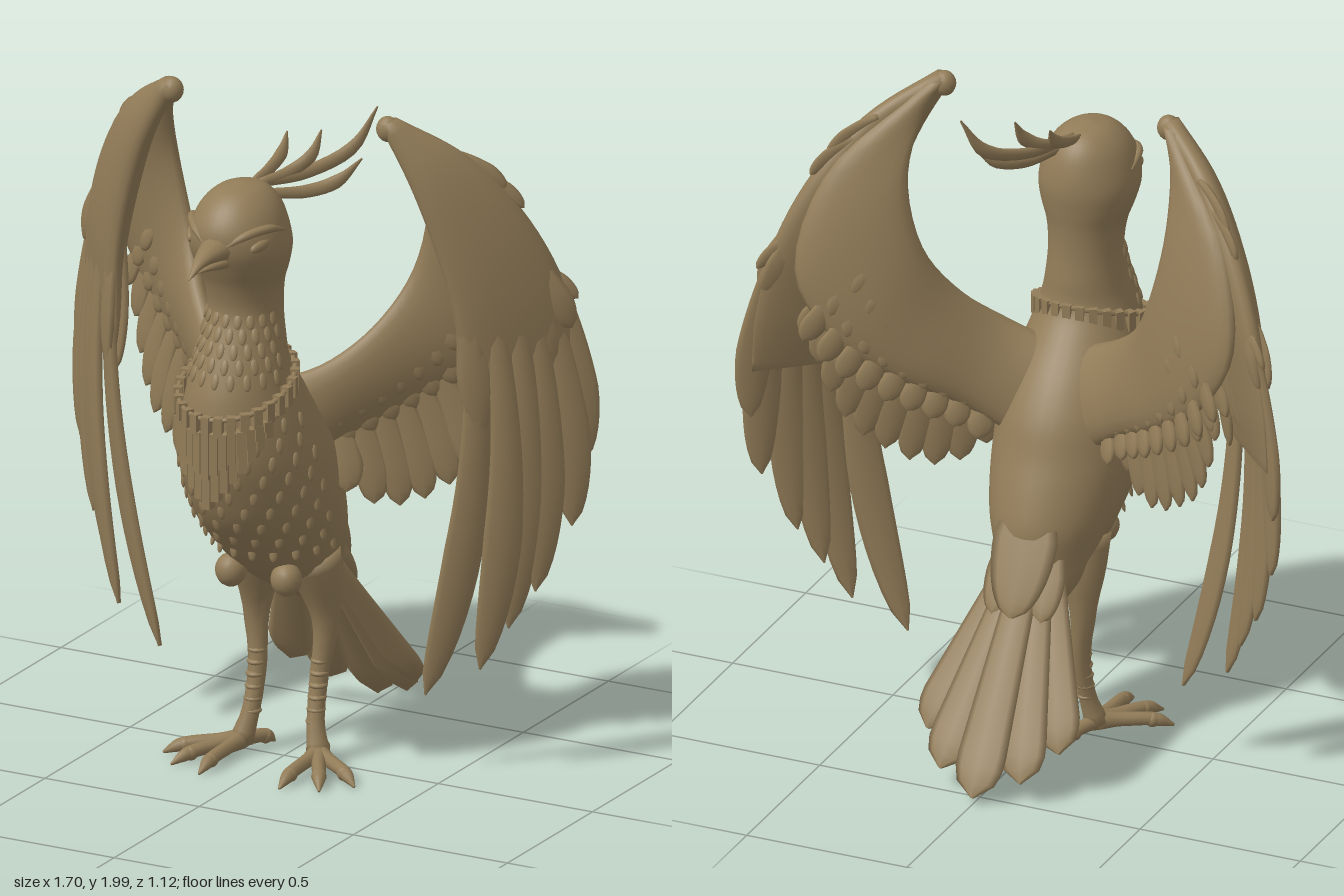
import * as THREE from 'three';

const V = (a) => new THREE.Vector3(...a);
const curveOf = (pts) => new THREE.CatmullRomCurve3(pts.map(V));
const TAU = Math.PI * 2;

// Skin a list of closed rings, cap both ends and make the faces point outward
function loft(rings) {
  const m = rings[0].length, pos = [], idx = [];
  rings.forEach((r) => r.forEach((p) => pos.push(p.x, p.y, p.z)));
  for (let i = 0; i < rings.length - 1; i++) {
    for (let j = 0; j < m; j++) {
      const a = i * m + j, b = i * m + (j + 1) % m;
      idx.push(a, b, a + m, b, b + m, a + m);
    }
  }
  [0, rings.length - 1].forEach((i) => {
    const c = new THREE.Vector3();
    rings[i].forEach((p) => c.addScaledVector(p, 1 / m));
    const k = pos.length / 3;
    pos.push(c.x, c.y, c.z);
    for (let j = 0; j < m; j++) {
      const a = i * m + j, b = i * m + (j + 1) % m;
      if (i) idx.push(a, b, k); else idx.push(b, a, k);
    }
  });
  const at = (i) => new THREE.Vector3().fromArray(pos, i * 3);
  let vol = 0;
  for (let i = 0; i < idx.length; i += 3) vol += at(idx[i]).dot(at(idx[i + 1]).cross(at(idx[i + 2])));
  if (vol < 0) idx.reverse();
  const g = new THREE.BufferGeometry();
  g.setAttribute('position', new THREE.Float32BufferAttribute(pos, 3));
  g.setIndex(idx);
  g.computeVertexNormals();
  return g;
}

// Sweep an ellipse along a curve; size(t) gives [half width, half thickness], n faces the flat side
function sweep(curve, size, n, steps = 12, sides = 10) {
  const rings = [];
  for (let i = 0; i <= steps; i++) {
    const t = i / steps, p = curve.getPoint(t), d = curve.getTangent(t);
    const s = new THREE.Vector3().crossVectors(n, d).normalize();
    const u = new THREE.Vector3().crossVectors(d, s).normalize();
    const [w, h] = size(t);
    rings.push(Array.from({ length: sides }, (_, j) => p.clone()
      .addScaledVector(s, w * Math.cos(j / sides * TAU)).addScaledVector(u, h * Math.sin(j / sides * TAU))));
  }
  return loft(rings);
}

// Flat feather; the rounded tip starts at the fraction tipAt
function feather(root, mid, tip, w, th, n, tipAt = 0.6) {
  return sweep(new THREE.QuadraticBezierCurve3(root, mid, tip), (t) => {
    const end = t < tipAt ? 1 : Math.sqrt(Math.max(0.003, 1 - ((t - tipAt) / (1 - tipAt)) ** 2));
    return [w * (0.5 + 0.5 * Math.min(1, t / tipAt)) * end, th * (0.4 + 0.6 * end)];
  }, n, 18, 8);
}

// Round limb with radii spread evenly along its path
function limb(pts, radii, n = [1, 0, 0.01], flat = 1) {
  return sweep(curveOf(pts), (t) => {
    const f = t * (radii.length - 1), i = Math.min(Math.floor(f), radii.length - 2);
    const r = THREE.MathUtils.lerp(radii[i], radii[i + 1], f - i);
    return [r, r * flat];
  }, V(n), 14, 10);
}

// Lens-shaped panel between two edge curves
function panel(a, b, n, thick) {
  const rings = [];
  for (let i = 0; i <= 28; i++) {
    const t = i / 28, A = a.getPoint(t), B = b.getPoint(t);
    rings.push(Array.from({ length: 20 }, (_, j) => {
      const q = j / 20 * TAU;
      return A.clone().lerp(B, (1 - Math.cos(q)) / 2).addScaledVector(n, thick(t) * Math.sin(q));
    }));
  }
  return loft(rings);
}

function mirrored(g) {
  const m = g.clone().scale(-1, 1, 1);
  m.setIndex(Array.from(m.index.array).reverse());
  m.computeVertexNormals();
  return m;
}

export function createModel() {
  const model = new THREE.Group();
  const bronze = new THREE.MeshStandardMaterial({ color: 0x927c58 });
  bronze.name = 'bronze brown';
  const groups = {};
  const add = (part, g, both = false) => {
    if (!groups[part]) {
      groups[part] = new THREE.Group();
      groups[part].name = part;
      model.add(groups[part]);
    }
    [g, both && mirrored(g)].filter(Boolean).forEach((geo) => {
      const mesh = new THREE.Mesh(geo, bronze);
      mesh.name = part;
      groups[part].add(mesh);
    });
  };
  const ball = (p, r, rot = [0, 0, 0]) => new THREE.SphereGeometry(1, 14, 10).scale(...r)
    .rotateX(rot[0]).rotateY(rot[1]).translate(...p);

  // Head, neck and body: height, centre z, half width, half depth
  const prof = [[1.815, 0.25, 0.01, 0.01], [1.8, 0.25, 0.065, 0.08], [1.76, 0.255, 0.108, 0.125],
    [1.7, 0.26, 0.135, 0.152], [1.64, 0.255, 0.146, 0.155], [1.58, 0.245, 0.135, 0.14],
    [1.52, 0.235, 0.115, 0.122], [1.44, 0.228, 0.108, 0.113], [1.36, 0.238, 0.117, 0.13],
    [1.28, 0.25, 0.135, 0.15], [1.2, 0.235, 0.157, 0.19], [1.1, 0.2, 0.188, 0.235], [1, 0.165, 0.21, 0.26],
    [0.9, 0.13, 0.214, 0.26], [0.8, 0.085, 0.205, 0.255], [0.7, 0.025, 0.183, 0.225],
    [0.6, -0.03, 0.15, 0.17], [0.5, -0.12, 0.105, 0.1], [0.43, -0.195, 0.05, 0.04]];
  const c1 = curveOf(prof.map(([y, z, rx]) => [rx, y, z]));
  const c2 = curveOf(prof.map(([y, , , rz]) => [rz, y, 0]));
  const bodyPoint = (t, a) => {
    const p = c1.getPoint(t);
    return new THREE.Vector3(p.x * Math.sin(a), p.y, p.z + c2.getPoint(t).x * Math.cos(a));
  };
  add('body', loft(Array.from({ length: 73 }, (_, i) =>
    Array.from({ length: 36 }, (_, j) => bodyPoint(i / 72, j / 36 * TAU)))));

  // Staggered low feather tips on neck and breast
  for (let r = 0; r < 14; r++) {
    const t = (r < 5 ? 7.2 + r * 0.52 : 10.8 + (r - 5) * 0.53) / 18;
    for (let k = -4; k <= 4; k++) {
      const a = (k + (r % 2) * 0.5) * 0.33, p = bodyPoint(t, a);
      const q = bodyPoint(t + 0.035, a), tilt = Math.atan2(Math.hypot(q.x, q.z - 0.2) - Math.hypot(p.x, p.z - 0.2), p.y - q.y);
      add('breastFeathers', ball(p.toArray(), [0.012, 0.024, 0.006], [-tilt * 0.7 - 0.14, a]));
    }
  }

  // Beak, eyes and brows
  add('beak', limb([[0, 1.65, 0.34], [0, 1.655, 0.42], [0, 1.643, 0.5], [0, 1.612, 0.56]], [0.066, 0.044, 0.02, 0.003], [0, 1, 0], 0.75));
  add('beak', limb([[0, 1.615, 0.34], [0, 1.618, 0.42], [0, 1.618, 0.51]], [0.058, 0.034, 0.004], [0, 1, 0], 0.55));
  add('eye', ball([0.112, 1.668, 0.34], [0.014, 0.018, 0.04], [0.25, -0.35]), true);
  add('brow', limb([[0.035, 1.668, 0.405], [0.08, 1.7, 0.378], [0.124, 1.712, 0.315], [0.136, 1.69, 0.24]],
    [0.006, 0.013, 0.013, 0.004], [0, 1, 0]), true);

  // Crest plumes sweeping back and to the left
  [[[0.02, 1.79, 0.17], [0.09, 1.79, 0.03], [0.17, 1.84, -0.1], [0.215, 1.95, -0.16]],
    [[0.04, 1.76, 0.17], [0.11, 1.745, 0.06], [0.17, 1.765, -0.01], [0.22, 1.825, -0.06]],
    [[0.02, 1.79, 0.18], [0.06, 1.8, 0.08], [0.1, 1.84, 0.02], [0.11, 1.905, -0.02]],
    [[0, 1.79, 0.18], [0.01, 1.81, 0.1], [0.015, 1.84, 0.04], [0.01, 1.89, 0]]]
    .forEach((p) => add('crest', limb(p, [0.014, 0.019, 0.021, 0.003], [1, 0.3, 0.3], 0.6)));

  // Collar: a tilted band of blocks and a stepped fringe of strips
  const collar = (a, k = 1) => [0.163 * k * Math.sin(a), 1.205 - 0.065 * Math.cos(a), 0.28 + 0.177 * k * Math.cos(a)];
  for (const drop of [-0.026, 0.02]) {
    const c = new THREE.CatmullRomCurve3(Array.from({ length: 24 }, (_, i) => V(collar(i / 24 * TAU)).add(V([0, drop, 0]))), true);
    add('collarBand', new THREE.TubeGeometry(c, 60, 0.008, 6, true));
  }
  for (let i = 0; i < 28; i++) {
    const a = i / 28 * TAU;
    add('collarBlocks', new THREE.BoxGeometry(0.025, 0.058, 0.026).rotateY(a).translate(...collar(a)));
  }
  for (let i = -7; i <= 7; i++) {
    const a = i * 0.15, [x, y, z] = collar(a, 0.99), len = Math.max(0.05, 0.23 - Math.abs(i) * 0.026);
    for (let s = 0; s < 2; s++) {
      const h = len * (s ? 0.6 : 1);
      add('collarFringe', new THREE.BoxGeometry(0.024, h, 0.035).rotateY(a)
        .translate(x, y - 0.02 - h / 2, z - 0.012 + s * 0.009));
    }
  }

  // Wings: arm panel from the back of the body to the wrist
  const nArm = V([0.5, 0.1, 0.86]).normalize(), nHand = V([0.62, 0.15, 0.75]).normalize();
  const lead = curveOf([[0.02, 1.17, 0.1], [0.17, 1.24, 0.06], [0.28, 1.345, -0.025], [0.36, 1.5, -0.105],
    [0.405, 1.71, -0.105], [0.39, 1.87, -0.04], [0.345, 1.985, 0.025]]);
  const trail = curveOf([[0.05, 0.85, 0.03], [0.24, 1.0, -0.06], [0.4, 1.1, -0.17], [0.56, 1.22, -0.25],
    [0.68, 1.42, -0.275], [0.62, 1.72, -0.19], [0.4, 1.97, -0.01]]);
  add('wingArm', panel(lead, trail, nArm, (t) => 0.07 - 0.04 * t), true);
  add('wrist', ball([0.35, 1.962, 0.025], [0.034, 0.038, 0.032]), true);
  const onArm = (t, f) => lead.getPoint(t).lerp(trail.getPoint(t), f);

  // Secondary feathers and rows of coverts on the arm, rooted inside the panel
  const tips = curveOf([[0.22, 0.85, 0.03], [0.3, 0.8, -0.04], [0.38, 0.81, -0.09], [0.46, 0.86, -0.14],
    [0.53, 0.92, -0.18], [0.58, 1.02, -0.22], [0.62, 1.15, -0.25]]);
  for (let i = 0; i < 9; i++) {
    const s = i / 8, root = onArm(0.12 + s * 0.43, 0.5), tip = tips.getPoint(s);
    const mid = root.clone().lerp(tip, 0.5).add(V([0.03, 0.02, -0.01]));
    add('secondaryFeathers', feather(root, mid, tip, 0.048, 0.012, nArm, 0.7), true);
  }
  for (const [f, reach, w] of [[0.25, 0.36, 0.028], [0.45, 0.38, 0.033], [0.68, 0.42, 0.038]]) {
    for (let i = 0; i < 9; i++) {
      const t = 0.14 + i * 0.055;
      for (const side of [-1, 1]) {
        const lift = nArm.clone().multiplyScalar(side * (0.052 - f * 0.045));
        const root = onArm(t, f), tip = onArm(t, f + reach).add(V([0, -0.04, 0])).add(lift);
        const mid = root.clone().lerp(tip, 0.5).addScaledVector(lift, 0.7);
        add('armCoverts', feather(root, mid, tip, w, 0.011, nArm, 0.7), true);
      }
    }
  }

  // Hand of the wing, folded forward from the wrist
  const inner = curveOf([[0.335, 1.975, 0.045], [0.43, 1.8, 0.035], [0.5, 1.6, 0.01], [0.545, 1.4, -0.015],
    [0.56, 1.2, -0.035], [0.575, 1.08, -0.045]]);
  const outer = curveOf([[0.37, 1.995, 0.01], [0.53, 1.88, -0.1], [0.665, 1.7, -0.2], [0.76, 1.48, -0.27],
    [0.8, 1.27, -0.295], [0.805, 1.1, -0.295]]);
  add('wingHand', panel(inner, outer, nHand, (t) => 0.004 + 0.05 * Math.sin(Math.PI * (0.15 + 0.85 * t))), true);

  // Long primaries
  [[[0.59, 1.4, -0.045], 0.12, [0.43, 0.25, -0.05]], [[0.63, 1.42, -0.085], 0.115, [0.585, 0.34, -0.09]],
    [[0.67, 1.44, -0.13], 0.09, [0.65, 0.46, -0.14]], [[0.7, 1.44, -0.175], 0.075, [0.715, 0.57, -0.18]],
    [[0.72, 1.46, -0.22], 0.06, [0.795, 0.76, -0.25]], [[0.73, 1.5, -0.25], 0.045, [0.815, 0.95, -0.28]]]
    .forEach(([r, bow, tp]) => {
      const root = V(r), tip = V(tp), mid = root.clone().lerp(tip, 0.5).add(V([bow, 0, -0.02]));
      add('primaryFeathers', feather(root, mid, tip, 0.056, 0.015, nHand), true);
    });

  // Hand coverts, rooted inside the hand
  for (let i = 0; i < 6; i++) {
    const root = inner.getPoint(0.5).lerp(outer.getPoint(0.5), 0.18 + i * 0.13);
    const tip = inner.getPoint(0.98).lerp(outer.getPoint(0.98), 0.1 + i * 0.16)
      .add(V([0, i * 0.045 - 0.04 + (i % 2) * 0.05, 0]));
    for (const side of [-1, 1]) {
      const off = nHand.clone().multiplyScalar(side * 0.022);
      const mid = root.clone().lerp(tip, 0.5).addScaledVector(off, 1.6);
      add('handCoverts', feather(root, mid, tip.clone().addScaledVector(off, 0.6), 0.046, 0.012, nHand), true);
    }
  }
  // Ragged tufts on the outer edge
  for (const t of [0.3, 0.36, 0.62]) {
    const e = outer.getPoint(t), start = e.clone().add(V([-0.1, 0.08, 0.06])), end = e.clone().add(V([0.025, -0.03, -0.02]));
    add('edgeFeathers', feather(start, start.clone().lerp(end, 0.5).add(V([0.01, 0.02, 0])), end, 0.026, 0.012, nHand), true);
  }

  // Tail fan and its coverts
  const nTail = V([0, 0.58, -0.81]);
  const tailFeather = (x0, y0, z0, tip, w, tipAt) => {
    const root = V([x0, y0, z0]), end = V(tip);
    return feather(root, root.clone().lerp(end, 0.5), end, w, 0.016, nTail, tipAt);
  };
  add('tail', tailFeather(0, 0.66, -0.125, [0, 0.03, -0.555], 0.075, 0.85));
  add('tail', tailFeather(0.02, 0.65, -0.115, [0.125, 0.075, -0.5], 0.07, 0.85), true);
  add('tail', tailFeather(0.04, 0.64, -0.105, [0.205, 0.145, -0.41], 0.068, 0.83), true);
  add('tailCoverts', tailFeather(0, 0.85, -0.1, [0, 0.48, -0.29], 0.1, 0.45));
  add('tailCoverts', tailFeather(0.04, 0.75, -0.08, [0.075, 0.46, -0.25], 0.06, 0.6), true);

  // Knee tufts, legs and feet
  add('kneeTuft', ball([0.09, 0.6, 0.15], [0.046, 0.05, 0.045]), true);
  add('leg', limb([[0.085, 0.64, 0.0], [0.105, 0.52, -0.03], [0.112, 0.4, -0.04], [0.1, 0.26, -0.025], [0.105, 0.13, 0.005], [0.125, 0.04, 0.025]],
    [0.09, 0.07, 0.042, 0.03, 0.026, 0.026, 0.036]), true);
  for (let i = 0; i < 6; i++) add('legRings', ball([0.102, 0.13 + i * 0.035, 0.003 - i * 0.006], [0.028, 0.012, 0.028]), true);
  [[0.31, 0.15], [0.24, 0.23], [0.13, 0.265], [0.08, -0.09]].forEach(([x, z]) => {
    const at = (f, y) => [0.125 + (x - 0.125) * f, y, 0.025 + (z - 0.025) * f];
    add('toes', limb([at(0, 0.045), at(0.35, 0.042), at(0.75, 0.035), at(1, 0.012)], [0.03, 0.021, 0.02, 0.019, 0.004], [0, 1, 0]), true);
    add('toes', ball(at(0.72, 0.034), [0.022, 0.022, 0.022]), true);
  });
  return model;
}
